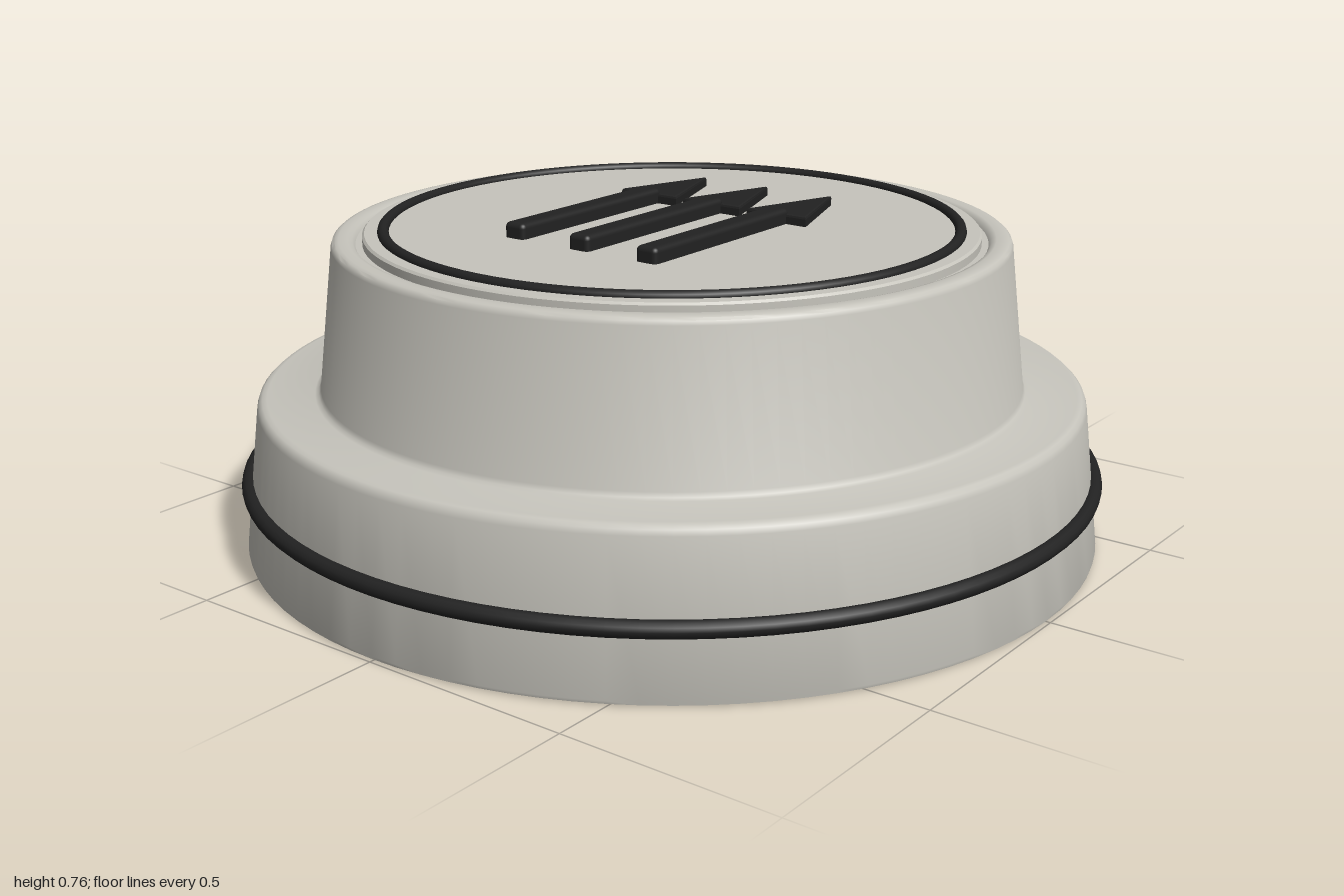
import * as THREE from 'three';
import { toCreasedNormals } from 'three/addons/utils/BufferGeometryUtils.js';
import { RoundedBoxGeometry } from 'three/addons/geometries/RoundedBoxGeometry.js';

const shell = new THREE.MeshStandardMaterial({ color: 0xc6c4bc });
shell.name = 'warm grey';
const black = new THREE.MeshStandardMaterial({ color: 0x222222 });
black.name = 'black';

function add(parent, name, geometry, material, x = 0, y = 0, z = 0) {
  const mesh = new THREE.Mesh(geometry, material);
  mesh.name = name;
  mesh.position.set(x, y, z);
  parent.add(mesh);
  return mesh;
}

// Turned solid from [radius, height] pairs
function turned(points) {
  const profile = points.map(([r, y]) => new THREE.Vector2(r, y));
  return toCreasedNormals(new THREE.LatheGeometry(profile, 96), 0.7);
}

function ring(radius, tube) {
  return new THREE.TorusGeometry(radius, tube, 12, 96).rotateX(Math.PI / 2);
}

export function createModel() {
  const model = new THREE.Group();
  model.name = 'stepped cap';

  // Stepped body, hollow from below
  add(model, 'body', turned([
    [0, 0.39], [0.79, 0.39], [0.81, 0],
    [0.985, 0], [0.992, 0.003], [0.994, 0.01],
    [0.955, 0.335], [0.951, 0.347], [0.943, 0.354], [0.932, 0.356],
    [0.825, 0.356], [0.816, 0.36], [0.811, 0.37],
    [0.773, 0.695], [0.77, 0.704], [0.764, 0.709], [0.755, 0.711],
    [0.735, 0.711], [0.725, 0.708], [0.718, 0.698], [0, 0.698],
  ]), shell);

  // Raised plate inside the rim
  add(model, 'topPlate', turned([
    [0.703, 0.695], [0.703, 0.716], [0.698, 0.721], [0, 0.721],
  ]), shell);

  // Seal around the base and trim around the plate
  add(model, 'sealRing', ring(0.981, 0.019), black, 0, 0.157, 0);
  add(model, 'trimRing', ring(0.656, 0.013), black, 0, 0.722, 0);

  // Three raised arrows pointing to the back
  const outline = new THREE.Shape();
  outline.moveTo(-0.075, 0.155);
  outline.lineTo(0.075, 0.155);
  outline.lineTo(0, 0.375);
  outline.closePath();
  const headGeometry = new THREE.ExtrudeGeometry(outline, {
    depth: 0.022, bevelEnabled: true, bevelThickness: 0.006, bevelSize: 0.006, bevelSegments: 2,
  }).rotateX(-Math.PI / 2);
  const shaftGeometry = new RoundedBoxGeometry(0.056, 0.05, 0.5, 3, 0.012);
  for (const x of [-0.185, 0, 0.185]) {
    const arrow = new THREE.Group();
    arrow.name = 'arrow';
    arrow.position.x = x;
    add(arrow, 'arrowShaft', shaftGeometry, black, 0, 0.731, 0.086);
    add(arrow, 'arrowHead', headGeometry, black, 0, 0.716, 0);
    model.add(arrow);
  }
  return model;
}
